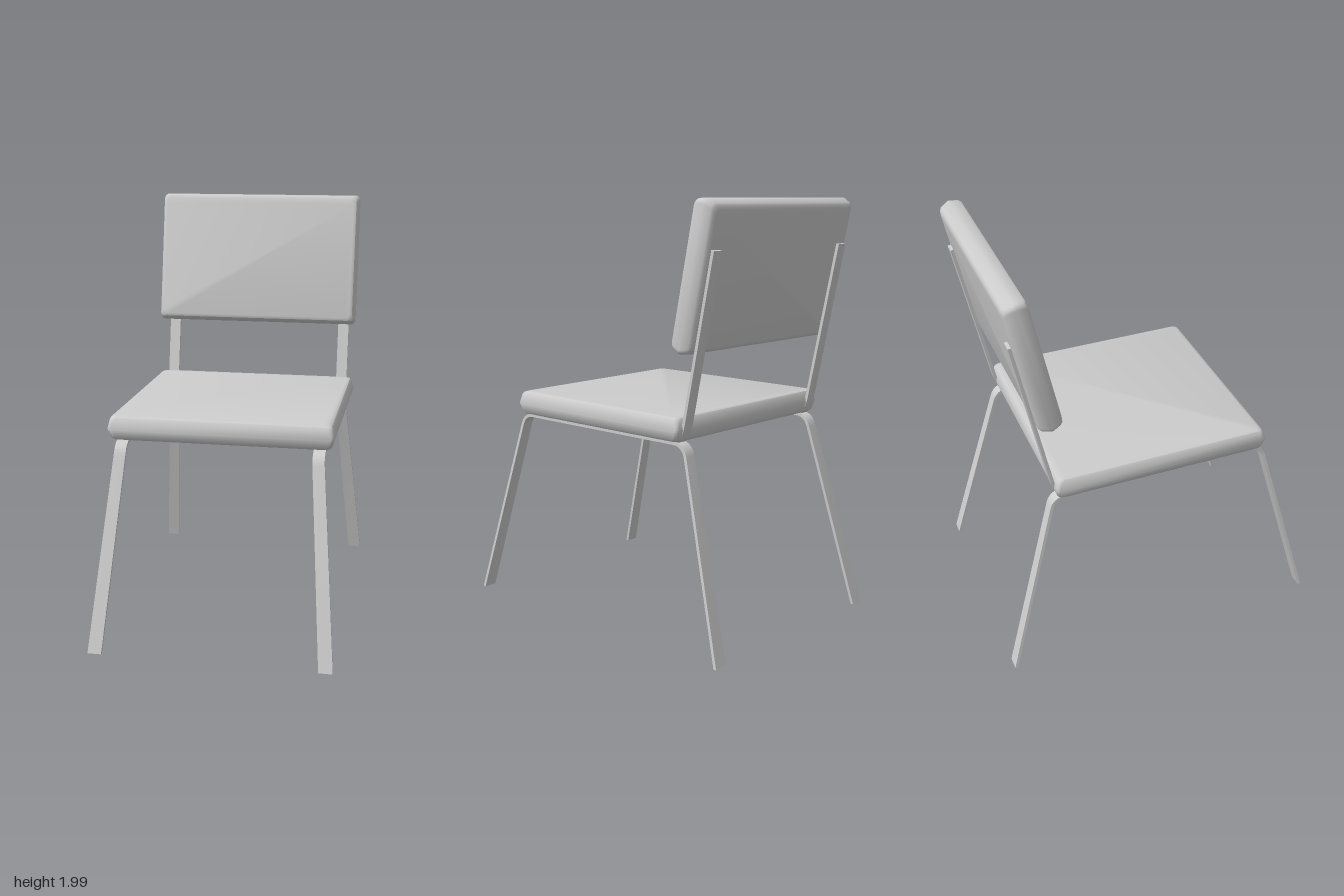
import * as THREE from 'three';
import { toCreasedNormals } from 'three/addons/utils/BufferGeometryUtils.js';

const material = new THREE.MeshStandardMaterial({ color: 0xcccccc });

// Skin a list of equal-length rings (counter-clockwise along the path) and cap both ends
function loft(rings, crease) {
  const n = rings[0].length, last = (rings.length - 1) * n, index = [];
  for (let i = 0; i < rings.length - 1; i++) {
    for (let j = 0; j < n; j++) {
      const a = i * n + j, b = i * n + (j + 1) % n;
      index.push(a, b, b + n, a, b + n, a + n);
    }
  }
  for (let j = 1; j < n - 1; j++) {
    index.push(0, j + 1, j, last, last + j, last + j + 1);
  }
  const geometry = new THREE.BufferGeometry();
  geometry.setAttribute('position', new THREE.Float32BufferAttribute(rings.flat(2), 3));
  geometry.setIndex(index);
  return toCreasedNormals(geometry, crease);
}

// Rounded rectangle in the xz plane at height y
function roundedRing(halfX, halfZ, y, radius) {
  const ring = [], steps = 4;
  [[1, 1], [-1, 1], [-1, -1], [1, -1]].forEach(([sx, sz], corner) => {
    for (let k = 0; k <= steps; k++) {
      const a = (corner + k / steps) * Math.PI / 2;
      ring.push([
        sx * (halfX - radius) + radius * Math.cos(a),
        y,
        -sz * (halfZ - radius) - radius * Math.sin(a),
      ]);
    }
  });
  return ring;
}

// Padded slab, thickness along y: [edge inset, height] from underside to face
const padProfile = [
  [0.036, -0.057], [0.022, -0.053], [0.012, -0.043], [0, -0.004],
  [0, 0.003], [0.009, 0.042], [0.016, 0.053], [0.03, 0.058],
];
function cushion(name, halfX, halfZ) {
  const rings = padProfile.map(([inset, y]) => roundedRing(halfX - inset, halfZ - inset, y, 0.025));
  const mesh = new THREE.Mesh(loft(rings, 0.65), material);
  mesh.name = name;
  return mesh;
}

// Flat bar following [z, y] points; it splays outward and widens toward the floor
function flatBar(name, points, side) {
  const half = 0.0075;
  const rings = points.map(([z, y], i) => {
    const [z0, y0] = points[Math.max(i - 1, 0)];
    const [z1, y1] = points[Math.min(i + 1, points.length - 1)];
    const length = Math.hypot(z1 - z0, y1 - y0);
    const ny = half * (z1 - z0) / length, nz = -half * (y1 - y0) / length;
    const drop = Math.max(0, 1 - y / 0.9);
    const x = side * (0.4575 + 0.075 * drop), w = 0.0275 + 0.005 * drop;
    return [[1, 1], [-1, 1], [-1, -1], [1, -1]].map(([sx, sn]) =>
      [x + sx * w, Math.max(0, y + sn * ny), z + sn * nz]);
  });
  const mesh = new THREE.Mesh(loft(rings, 0.6), material);
  mesh.name = name;
  return mesh;
}

// Points of a bend from a to b, pulled toward the corner c
function bend(a, c, b) {
  const curve = new THREE.QuadraticBezierCurve(
    new THREE.Vector2(...a), new THREE.Vector2(...c), new THREE.Vector2(...b));
  return curve.getPoints(6).map((p) => [p.x, p.y]);
}

export function createModel() {
  const chair = new THREE.Group();
  chair.name = 'chair';

  const seat = cushion('seat', 0.525, 0.525);
  seat.position.y = 1.001;
  chair.add(seat);

  // Backrest leans back, its face toward the front
  const tilt = 0.207;
  const backrest = cushion('backrest', 0.525, 0.336);
  backrest.rotation.x = Math.PI / 2 - tilt;
  backrest.position.set(0, 1.665, -0.595);
  chair.add(backrest);

  // One continuous bar makes the front leg, seat rail and back leg
  const frontBend = bend([0.54, 0.88], [0.525, 0.937], [0.465, 0.937]);
  const backBend = frontBend.map(([z, y]) => [-z, y]).reverse();
  const legPath = [[0.782, 0], ...frontBend, ...backBend, [-0.782, 0]];

  // Upright runs from under the seat, up behind the backrest
  const uprightPath = [
    [-0.4, 0.941],
    ...bend([-0.47, 0.941], [-0.51, 0.945], [-0.529, 1.03]),
    [-0.686, 1.78],
  ];

  for (const side of [1, -1]) {
    const label = side > 0 ? 'left' : 'right';
    chair.add(flatBar(label + 'LegFrame', legPath, side));
    chair.add(flatBar(label + 'BackUpright', uprightPath, side));
  }
  return chair;
}
